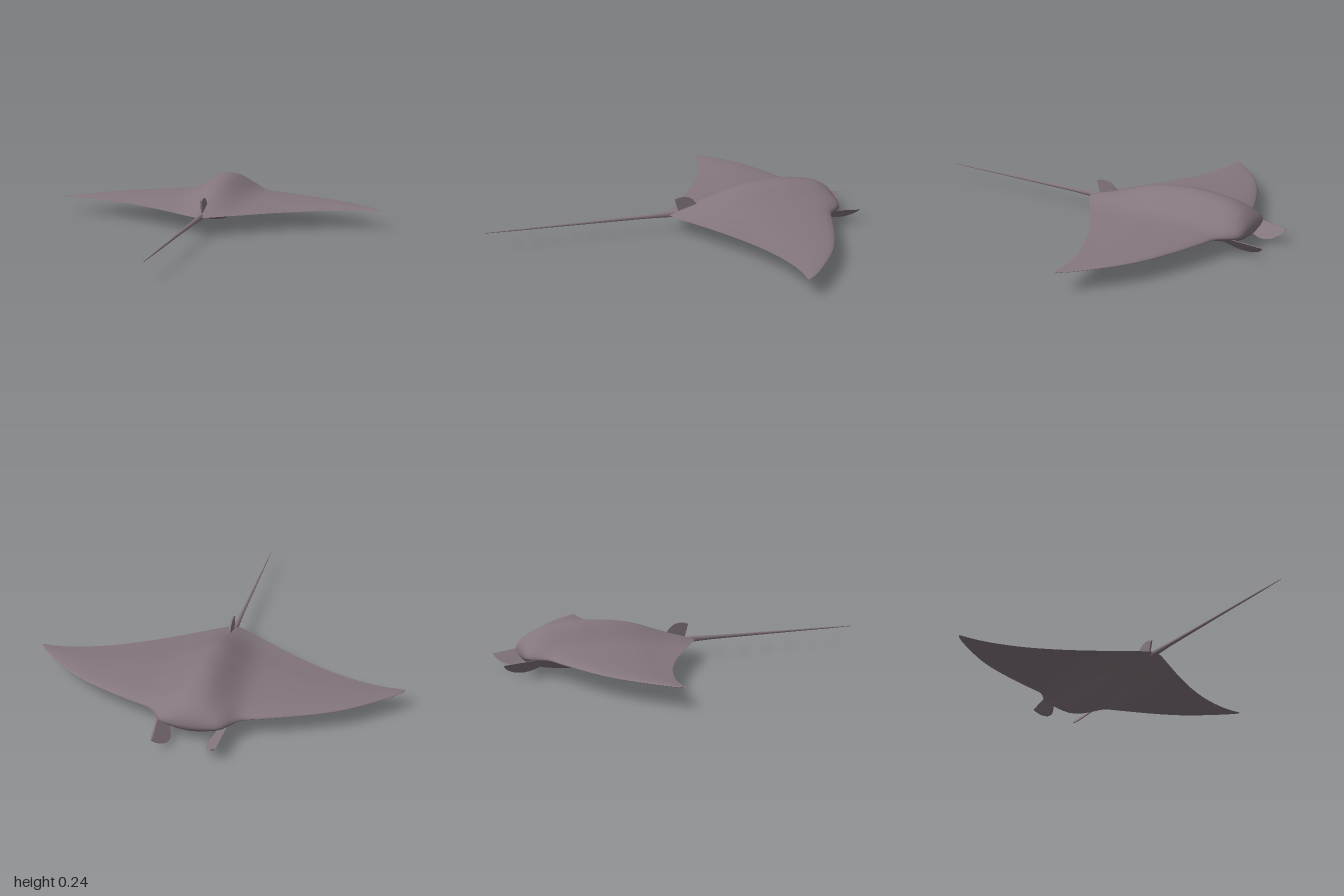
import * as THREE from 'three';

const skin = new THREE.MeshStandardMaterial({ color: 0x84767e, side: THREE.DoubleSide });
skin.name = 'mauve grey skin';

// Smooth curve through [x, y] points
function curve(points) {
  const slope = (i) => {
    const a = points[Math.max(0, i - 1)], b = points[Math.min(points.length - 1, i + 1)];
    return (b[1] - a[1]) / (b[0] - a[0]);
  };
  return (x) => {
    let i = 0;
    while (i < points.length - 2 && x > points[i + 1][0]) i++;
    const [x0, y0] = points[i], [x1, y1] = points[i + 1], h = x1 - x0;
    const t = Math.min(1, Math.max(0, (x - x0) / h)), t2 = t * t, t3 = t2 * t;
    return y0 * (2 * t3 - 3 * t2 + 1) + slope(i) * h * (t3 - 2 * t2 + t)
      + y1 * (3 * t2 - 2 * t3) + slope(i + 1) * h * (t3 - t2);
  };
}

const SPAN = 0.925, MID = 0.1;
// Plan outline: leading and trailing edge against distance from the centre
const leading = curve([[0, -0.895], [0.08, -0.891], [0.14, -0.88], [0.17, -0.85], [0.2, -0.812], [0.225, -0.793],
  [0.3, -0.768], [0.45, -0.712], [0.6, -0.645], [0.7, -0.585], [0.8, -0.507], [0.87, -0.445], [0.915, -0.398], [SPAN, -0.38]]);
const trailing = curve([[0, 0.04], [0.03, 0.03], [0.08, 0], [0.15, -0.048], [0.3, -0.148], [0.45, -0.237],
  [0.6, -0.308], [0.75, -0.355], [0.85, -0.369], [SPAN, -0.369]]);
// Greatest height above and depth below the middle plane
const above = curve([[0, 0.143], [0.05, 0.132], [0.1, 0.102], [0.15, 0.068], [0.2, 0.046], [0.25, 0.037],
  [0.35, 0.03], [0.5, 0.022], [0.7, 0.013], [SPAN, 0.002]]);
const below = curve([[0, 0.097], [0.05, 0.089], [0.1, 0.067], [0.15, 0.043], [0.2, 0.026], [0.25, 0.017],
  [0.35, 0.012], [0.5, 0.009], [0.7, 0.006], [SPAN, 0.002]]);
// Blunt-nosed section against the square root of the chord position
const section = curve([[0, 0], [0.08, 0.22], [0.17, 0.45], [0.26, 0.66], [0.39, 0.87], [0.56, 1], [0.65, 0.98],
  [0.73, 0.91], [0.8, 0.76], [0.86, 0.54], [0.92, 0.3], [0.97, 0.12], [1, 0]]);

// One skin of the body: side 1 is the back, -1 the belly
function bodySkin(side) {
  const nx = 120, nz = 48, positions = [], index = [];
  const thickness = side > 0 ? above : below;
  for (let i = 0; i <= nx; i++) {
    const x = SPAN * Math.sin((i / nx - 0.5) * Math.PI), d = Math.abs(x);
    const z0 = leading(d), z1 = trailing(d);
    for (let j = 0; j <= nz; j++) {
      const s = j / nz;
      positions.push(x, MID + side * thickness(d) * section(s), z0 + (z1 - z0) * s * s);
      if (i < nx && j < nz) {
        const a = i * (nz + 1) + j, b = a + nz + 1;
        if (side > 0) index.push(a, a + 1, b, b, a + 1, b + 1);
        else index.push(a, b, a + 1, b, b + 1, a + 1);
      }
    }
  }
  const g = new THREE.BufferGeometry();
  g.setAttribute('position', new THREE.Float32BufferAttribute(positions, 3));
  g.setIndex(index);
  g.computeVertexNormals();
  return g;
}

// Thin upright plate from a shape drawn as (-z, y)
function plate(shape, thick) {
  const g = new THREE.ExtrudeGeometry(shape, { depth: thick, bevelEnabled: false, curveSegments: 10 });
  return g.translate(0, 0, -thick / 2).rotateY(Math.PI / 2);
}

export function createModel() {
  const model = new THREE.Group();
  const add = (name, geometry) => {
    const mesh = new THREE.Mesh(geometry, skin);
    mesh.name = name;
    model.add(mesh);
  };

  add('back', bodySkin(1));
  add('belly', bodySkin(-1));

  // Whip tail, tapering to a point
  const profile = [[0.002, -0.06], [0.014, -0.02], [0.016, 0.03], [0.011, 0.15], [0.008, 0.4], [0.006, 0.6], [0.004, 0.85], [0.0015, 1]]
    .map(([r, z]) => new THREE.Vector2(r, z));
  add('tail', new THREE.LatheGeometry(profile, 8).rotateX(Math.PI / 2).translate(0, MID, 0));

  // Small fin at the tail root
  const fin = new THREE.Shape();
  fin.moveTo(0.02, 0.1);
  fin.lineTo(-0.003, 0.183);
  fin.quadraticCurveTo(0.035, 0.198, 0.07, 0.187);
  fin.quadraticCurveTo(0.1, 0.175, 0.13, 0.13);
  fin.lineTo(0.12, 0.1);
  add('dorsalFin', plate(fin, 0.009));

  // Paddle fins beside the mouth, leaning outward toward the top
  const paddle = new THREE.Shape();
  paddle.moveTo(0.8, 0.085);
  paddle.lineTo(0.85, 0.092);
  paddle.lineTo(1, 0.075);
  paddle.bezierCurveTo(0.985, 0.035, 0.93, 0.018, 0.89, 0.022);
  paddle.quadraticCurveTo(0.845, 0.028, 0.8, 0.065);
  for (const side of [1, -1]) {
    const g = plate(paddle, 0.008), p = g.attributes.position;
    for (let i = 0; i < p.count; i++) p.setX(i, p.getX(i) + side * (0.09 + (p.getY(i) - 0.02)));
    g.computeVertexNormals();
    add(side > 0 ? 'leftHeadFin' : 'rightHeadFin', g);
  }
  return model;
}
